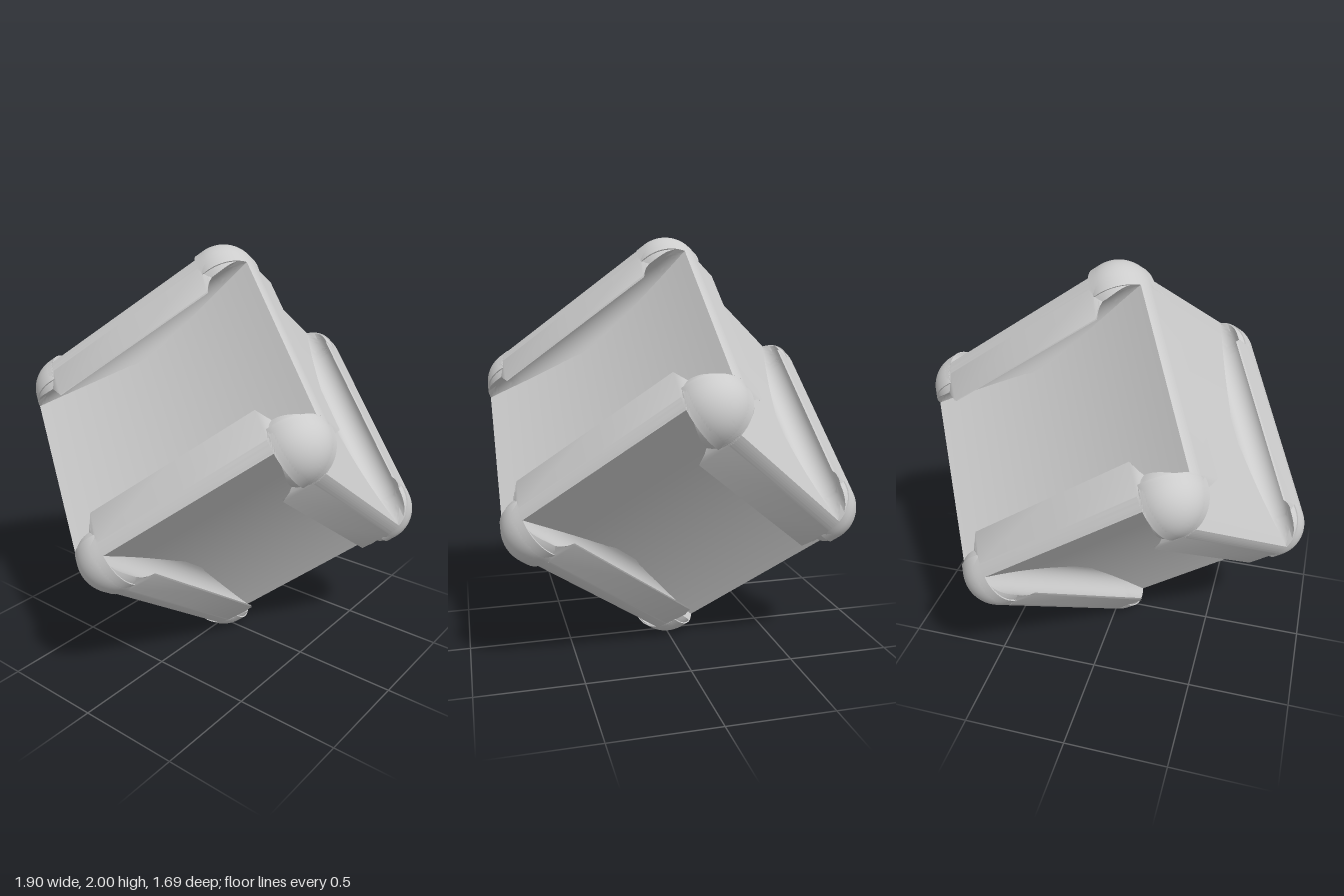
import * as THREE from 'three';
import { toCreasedNormals } from 'three/addons/utils/BufferGeometryUtils.js';

const C = 0.48;                          // half distance between edge axes
const R = 0.168;                         // radius of rounded edges and corners
const BX = 0.36, BY = 0.563, BR = 0.08;  // groove running under each edge lip
const CORE = 0.437;                      // half length of the straight lip
const END = C + 0.152;                   // where the groove runs out of the corner
const RIM = 0.065;                       // panel rim height above the edge axis
const rad = THREE.MathUtils.degToRad;
const lerp = THREE.MathUtils.lerp;

const material = new THREE.MeshStandardMaterial({ color: 0xcccccc, side: THREE.DoubleSide });

// Surface through a list of cross-sections with equal point counts
function loft(rows) {
  const n = rows[0].length, index = [];
  for (let i = 0; i < rows.length - 1; i++) {
    for (let j = 0; j < n - 1; j++) {
      const a = i * n + j, b = a + n;
      index.push(a, a + 1, b, a + 1, b + 1, b);
    }
  }
  const geo = new THREE.BufferGeometry();
  geo.setAttribute('position', new THREE.Float32BufferAttribute(rows.flat(2), 3));
  geo.setIndex(index);
  return toCreasedNormals(geo, rad(28));
}

function arc(cx, cy, r, from, to, z, steps) {
  const pts = [];
  for (let i = 0; i <= steps; i++) {
    const a = lerp(from, to, i / steps);
    pts.push([cx + r * Math.cos(a), cy + r * Math.sin(a), z]);
  }
  return pts;
}

// Angle on the groove circle where it breaks through the corner sphere
function breakAngle(d) {
  const dx = BX - C, dy = BY - C, D = Math.hypot(dx, dy);
  const c = (R * R - d * d - D * D - BR * BR) / (2 * BR * D);
  return Math.atan2(dy, dx) - Math.acos(Math.max(-1, Math.min(1, c)));
}

// Section data at a distance t along the edge
function section(t, core) {
  const d = Math.max(0, t - C);
  const r = Math.sqrt(R * R - d * d);
  const k = core ? 0 : Math.min(1, (t - CORE) / (C - CORE));
  const theta = t > C ? breakAngle(d) : lerp(rad(110), breakAngle(0), k);
  const tip = [BX + BR * Math.cos(theta), BY + BR * Math.sin(theta)];
  if (k === 0) tip[1] = C + R;
  const full = Math.atan2(tip[1] - C, tip[0] - C);
  const end = k < 1 ? lerp(Math.PI / 2, full, k) : full;
  const start = core ? Math.acos(RIM / R) : Math.asin((CORE - C) / r);
  return { r, theta, tip, start, end };
}

// Stations from one corner to the other
const half = [[0, true], [CORE, true]];
for (let i = 0; i <= 3; i++) half.push([lerp(CORE, C, i / 3), false]);
for (let i = 1; i <= 14; i++) half.push([lerp(C, END, Math.sin(i / 14 * Math.PI / 2)), false]);
const stations = [
  ...half.slice(1).reverse().map(([t, core]) => [-t, core]),
  ...half,
];

// Rounded edge with its flat lip
const edgeGeo = loft(stations.map(([z, core]) => {
  const s = section(Math.abs(z), core);
  return [...arc(C, C, s.r, s.start, s.end, z, 20), [...s.tip, z]];
}));

// Hollow groove beneath the lip
const grooveGeo = loft(stations.map(([z, core]) => {
  const s = section(Math.abs(z), core);
  return arc(BX, BY, BR, s.theta, -Math.PI / 2, z, 20);
}));

// Panel, gently sagging along the direction of its lips
const rimZ = C + Math.sqrt(R * R - RIM * RIM);
const panelRows = [];
for (let i = 0; i <= 24; i++) {
  const z = lerp(-rimZ, rimZ, i / 24);
  const y = 0.482 + (C + RIM - 0.482) * (z / rimZ) ** 2;
  panelRows.push([[0.44, y, z], [0, y, z], [-0.44, y, z]]);
}
const panelGeo = loft(panelRows);

function add(parent, geo, name) {
  const mesh = new THREE.Mesh(geo, material);
  mesh.name = name;
  parent.add(mesh);
}

function makeFace() {
  const face = new THREE.Group();
  add(face, panelGeo, 'panel');
  for (const turn of [0, Math.PI]) {
    const side = new THREE.Group();
    side.name = 'lippedEdge';
    side.rotation.y = turn;
    add(side, edgeGeo, 'roundedEdge');
    add(side, grooveGeo, 'groove');
    face.add(side);
  }
  return face;
}

export function createModel() {
  const model = new THREE.Group();
  model.name = 'cubeOnCorner';
  // Cube axes with one body diagonal vertical
  const h = Math.SQRT1_2, a = 1 / Math.sqrt(6), b = 1 / Math.sqrt(3);
  const axes = [
    new THREE.Vector3(-2 * a, b, 0),
    new THREE.Vector3(a, b, h),
    new THREE.Vector3(a, b, -h),
  ];
  for (let i = 0; i < 3; i++) {
    for (const sign of [1, -1]) {
      const face = makeFace();
      face.name = sign > 0 ? 'upperFace' : 'lowerFace';
      const x = axes[i].clone().multiplyScalar(sign);
      const y = axes[(i + 1) % 3].clone().multiplyScalar(sign);
      const m = new THREE.Matrix4().makeBasis(x, y, axes[(i + 2) % 3]);
      face.quaternion.setFromRotationMatrix(m);
      face.position.y = 1;
      model.add(face);
    }
  }
  return model;
}
